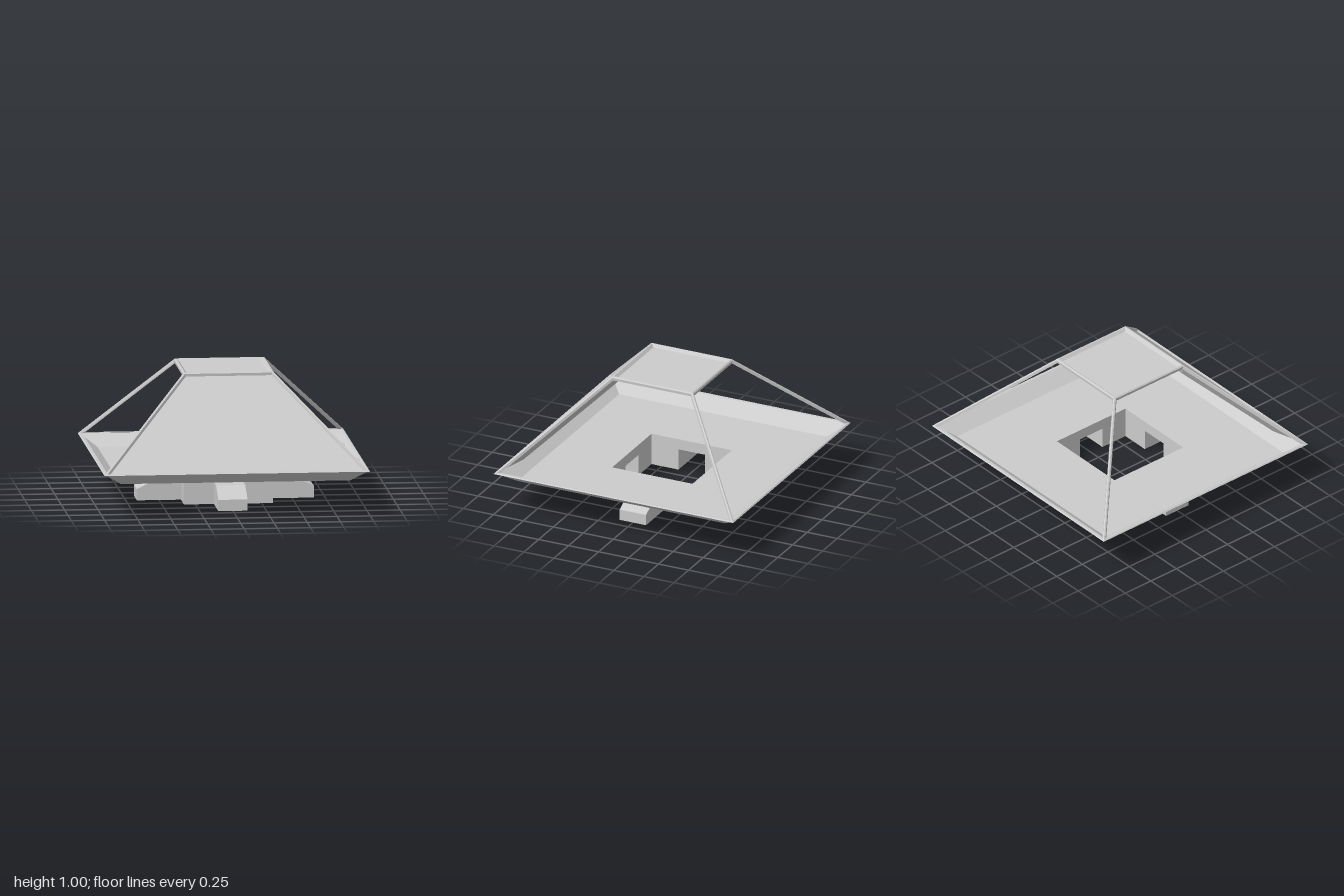
import * as THREE from 'three';

const RIM = 0.335;    // height of the tray's edge, also half-width of roof and neck
const FLOOR = 0.25;   // underside of the tray
const R2 = Math.SQRT2;
const LEN = (1 - RIM) * R2; // length of a sloping side

const material = new THREE.MeshStandardMaterial({
  color: 0xcccccc, flatShading: true, side: THREE.DoubleSide,
});

// Square loop, counter-clockwise from above
const square = (h, y) => [[-h, y, h], [h, y, h], [h, y, -h], [-h, y, -h]];

// Trapezoid loop in the sloping front plane, shrunk by inset and sunk by depth
function trapezoid(inset, depth) {
  const corner = (sign, s) => {
    const half = 1 - s / R2 - inset * Math.sqrt(1.5);
    return [sign * half, RIM + (s - depth) / R2, 1 - (s + depth) / R2];
  };
  const low = inset, high = LEN - inset;
  return [corner(-1, low), corner(1, low), corner(1, high), corner(-1, high)];
}

// Skin between successive four-cornered loops, optionally capped at the last
function skin(name, loops, cap = false) {
  const pos = [];
  const quad = (a, b, c, d) => pos.push(...a, ...b, ...c, ...a, ...c, ...d);
  for (let k = 0; k + 1 < loops.length; k++) {
    const a = loops[k], b = loops[k + 1];
    for (let i = 0; i < 4; i++) {
      const j = (i + 1) % 4;
      quad(a[i], a[j], b[j], b[i]);
    }
  }
  if (cap) quad(...loops[loops.length - 1]);
  return meshFrom(name, pos);
}

function meshFrom(name, pos) {
  const geo = new THREE.BufferGeometry();
  geo.setAttribute('position', new THREE.Float32BufferAttribute(pos, 3));
  geo.computeVertexNormals();
  const mesh = new THREE.Mesh(geo, material);
  mesh.name = name;
  return mesh;
}

function flat(name, points) {
  const shape = new THREE.Shape(points.map(([x, y]) => new THREE.Vector2(x, y)));
  const mesh = new THREE.Mesh(new THREE.ShapeGeometry(shape), material);
  mesh.name = name;
  return mesh;
}

// Hollow foot reaching out along +z, open below and towards the neck
function makeFoot() {
  const foot = new THREE.Group();
  foot.name = 'foot';
  const w = 0.11;
  const profile = [[RIM, 0.167], [0.5, 0.167], [0.667, 0.085], [0.667, 0]];
  const pos = [];
  for (let i = 0; i + 1 < profile.length; i++) {
    const [z0, y0] = profile[i], [z1, y1] = profile[i + 1];
    pos.push(-w, y0, z0, -w, y1, z1, w, y1, z1, -w, y0, z0, w, y1, z1, w, y0, z0);
  }
  foot.add(meshFrom('footCover', pos));
  for (const side of [-1, 1]) {
    const cheek = flat('footCheek', [[-RIM, 0], ...profile.map(([z, y]) => [-z, y])]);
    cheek.rotation.y = Math.PI / 2; // local x runs along -z
    cheek.position.x = side * w;
    foot.add(cheek);
  }
  return foot;
}

export function createModel() {
  const model = new THREE.Group();
  model.name = 'hopper';

  // Shallow floor tray with a square opening
  model.add(skin('floorTray', [square(1, RIM), square(0.985, RIM), square(0.865, FLOOR), square(RIM, FLOOR)]));

  // Sunken roof panel
  model.add(skin('roof', [square(RIM, 1), square(0.325, 1), square(0.305, 0.98)], true));

  // Closed front: flat outside, bevelled bulge inside
  const lip = trapezoid(0.025, 0.015);
  model.add(skin('frontPanel', [lip], true));
  model.add(skin('frontPanelInside', [lip, trapezoid(0.127, 0.061)], true));

  for (let i = 0; i < 4; i++) {
    const side = new THREE.Group();
    side.name = 'side';
    side.rotation.y = i * Math.PI / 2;

    // Thin frame round each sloping opening
    side.add(skin('sideFrame', [trapezoid(0, 0), trapezoid(0.012, 0), lip]));

    // Neck wall with a doorway into the foot
    const wall = flat('neckWall', [
      [-RIM, 0], [-0.11, 0], [-0.11, 0.167], [0.11, 0.167],
      [0.11, 0], [RIM, 0], [RIM, FLOOR], [-RIM, FLOOR],
    ]);
    wall.position.z = RIM;
    side.add(wall, makeFoot());
    model.add(side);
  }
  return model;
}
